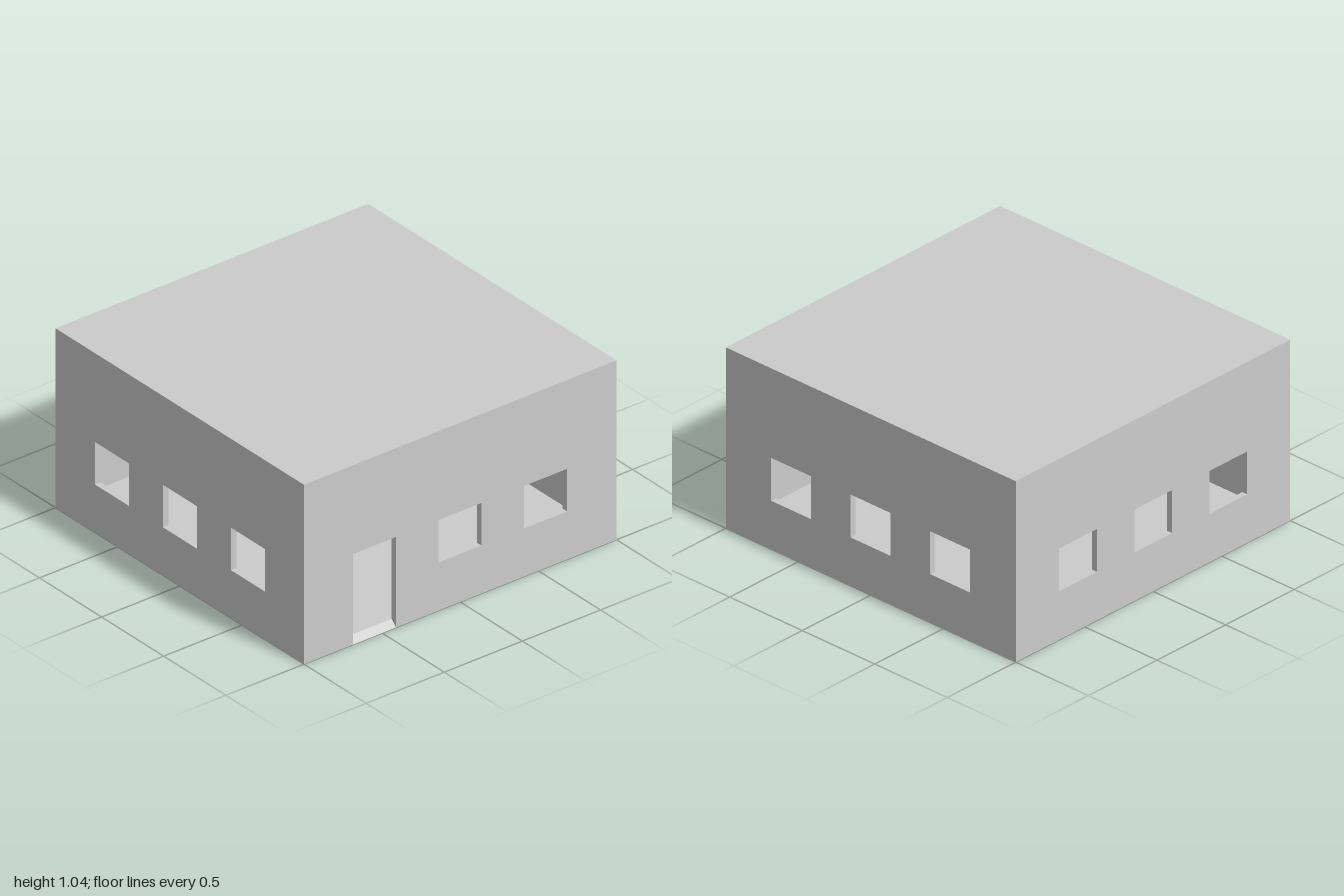
import * as THREE from 'three';

const T = 0.035;                 // wall, floor and roof thickness
const H = 1.038;                 // overall height
const WIN_W = 0.275, SILL = 0.278, HEAD = 0.524;
const CENTRES = [-0.549, -0.002, 0.546];

export function createModel() {
  const model = new THREE.Group();
  const material = new THREE.MeshStandardMaterial({ color: 0xcccccc, flatShading: true });

  const add = (name, geometry, parent = model) => {
    const mesh = new THREE.Mesh(geometry, material);
    mesh.name = name;
    parent.add(mesh);
    return mesh;
  };

  // Wall panel lying in x/y, outer face at z = 1, with three window openings;
  // an optional doorway replaces the first opening
  const wall = (name, width, centres, angle, hasDoor = false) => {
    const w = width / 2, top = H - T;
    const shape = new THREE.Shape();
    shape.moveTo(-w, 0);
    if (hasDoor) {
      const a = centres[0] - WIN_W / 2, b = centres[0] + WIN_W / 2;
      shape.lineTo(a, 0).lineTo(a, HEAD).lineTo(b, HEAD).lineTo(b, 0);
    }
    shape.lineTo(w, 0).lineTo(w, top).lineTo(-w, top).closePath();
    for (const c of hasDoor ? centres.slice(1) : centres) {
      const a = c - WIN_W / 2, b = c + WIN_W / 2;
      const hole = new THREE.Path();
      hole.moveTo(a, SILL).lineTo(a, HEAD).lineTo(b, HEAD).lineTo(b, SILL).closePath();
      shape.holes.push(hole);
    }
    const geometry = new THREE.ExtrudeGeometry(shape, { depth: T, bevelEnabled: false });
    geometry.translate(0, 0, 1 - T);
    geometry.rotateY(angle);
    add(name, geometry);
  };

  // Opposite walls have their openings aligned
  const mirrored = CENTRES.map((c) => -c);
  wall('frontWall', 2, CENTRES, 0, true);
  wall('backWall', 2, mirrored, Math.PI);
  wall('leftWall', 2 - 2 * T, CENTRES, Math.PI / 2);
  wall('rightWall', 2 - 2 * T, mirrored, -Math.PI / 2);

  // Floor between the walls and flat roof over them
  const inner = 2 - 2 * T;
  add('floor', new THREE.BoxGeometry(inner, T, inner)).position.y = T / 2;
  add('roof', new THREE.BoxGeometry(2, T, 2)).position.y = H - T / 2;

  // Sloping threshold in the doorway, rising from the ground to the floor
  const wedge = new THREE.Shape();
  wedge.moveTo(0, 0).lineTo(T, 0).lineTo(0, T).closePath();
  const ramp = new THREE.ExtrudeGeometry(wedge, { depth: WIN_W, bevelEnabled: false });
  ramp.rotateY(-Math.PI / 2);
  ramp.translate(CENTRES[0] + WIN_W / 2, 0, 1 - T);
  add('doorRamp', ramp);

  return model;
}
